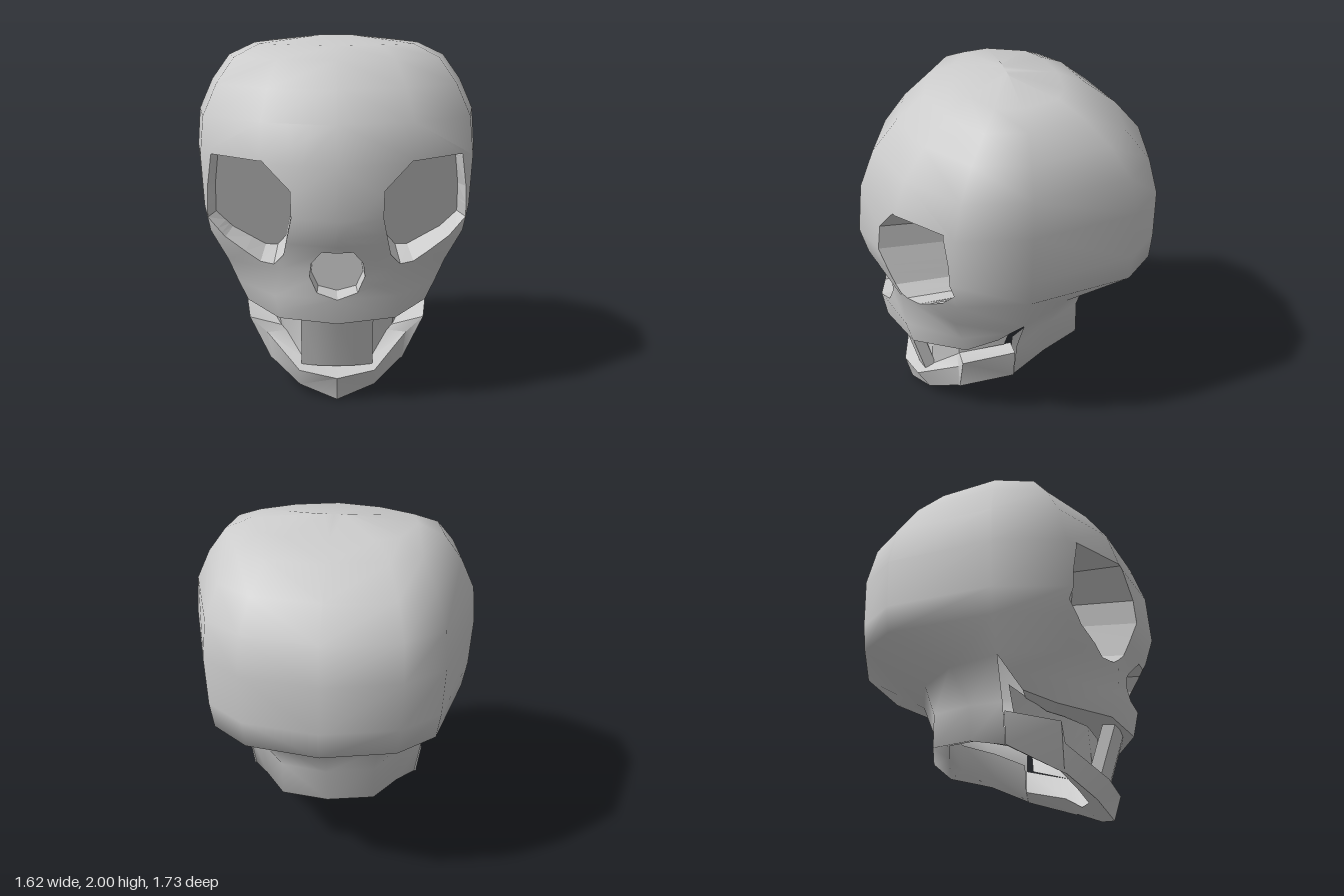
import * as THREE from 'three';
import { mergeVertices, toCreasedNormals } from 'three/addons/utils/BufferGeometryUtils.js';

const material = new THREE.MeshStandardMaterial({ color: 0xcccccc, side: THREE.DoubleSide });
const flip = ([x, y, z]) => [-x, y, z];

function geometryOf(points, normals) {
  const g = new THREE.BufferGeometry();
  g.setAttribute('position', new THREE.Float32BufferAttribute(points.flat(), 3));
  if (normals) g.setAttribute('normal', new THREE.Float32BufferAttribute(normals.flat(), 3));
  return g;
}

function mesh(geometry, name) {
  if (!geometry.attributes.normal) geometry.computeVertexNormals();
  const m = new THREE.Mesh(geometry, material);
  m.name = name;
  return m;
}

// Triangles between successive rows of points, mirrored across x = 0
function mirroredStrip(rows) {
  const out = [];
  const tri = (a, b, c) => out.push(a, b, c, flip(a), flip(c), flip(b));
  for (let r = 0; r < rows.length - 1; r++) {
    const u = rows[r], l = rows[r + 1];
    for (let k = 0; k < u.length - 1; k++) {
      tri(u[k], l[k], l[k + 1]);
      tri(u[k], l[k + 1], u[k + 1]);
    }
  }
  return out;
}

// Cuts a convex polygon p (vertices are [x,y,z,nx,ny,nz]) by the line a-b seen from the front
const side = (v, a, b) => (b[0] - a[0]) * (v[1] - a[1]) - (b[1] - a[1]) * (v[0] - a[0]);
function split(p, a, b) {
  const inside = [], outside = [];
  p.forEach((v, i) => {
    const w = p[(i + 1) % p.length], d = side(v, a, b), e = side(w, a, b);
    (d >= 0 ? inside : outside).push(v);
    if ((d >= 0) !== (e >= 0)) {
      const m = v.map((c, j) => c + (w[j] - c) * d / (d - e));
      inside.push(m);
      outside.push(m);
    }
  });
  return [inside, outside];
}

// Cuts a convex opening into the polygons and returns the recess behind it
function carve(polys, outline, deep) {
  const kept = [], recess = [];
  const edges = outline.map((a, i) => [a, outline[(i + 1) % outline.length]]);
  for (const poly of polys) {
    let rest = poly;
    const pieces = [];
    if (poly.reduce((s, v) => s + v[2], 0) / poly.length > 0.1) {
      for (const [a, b] of edges) {
        const [inside, outside] = split(rest, a, b);
        if (outside.length > 2) pieces.push(outside);
        rest = inside;
        if (rest.length < 3) break;
      }
    } else rest = [];
    if (rest.length < 3) { kept.push(poly); continue; }
    kept.push(...pieces);
    const front = rest.map(v => v.slice(0, 3)), back = front.map(deep);
    for (let i = 1; i < back.length - 1; i++) recess.push(back[0], back[i], back[i + 1]);
    front.forEach((v, i) => {
      const j = (i + 1) % front.length, w = front[j];
      if (edges.some(([a, b]) => Math.abs(side(v, a, b)) < 1e-6 && Math.abs(side(w, a, b)) < 1e-6))
        recess.push(v, w, back[j], v, back[j], back[i]);
    });
  }
  return [kept, geometryOf(recess)];
}

export function createModel() {
  const group = new THREE.Group();

  // Cranium rings: height, half width, front reach, back reach
  const plan = [[0, 1], [0.52, 0.84], [0.93, 0.515], [1, 0.03], [0.81, -0.68], [0.54, -0.9], [0, -1]];
  const rings = [
    [2, 0.1, 0, 0], [1.96, 0.47, 0.3, 0.3], [1.89, 0.62, 0.46, 0.46], [1.75, 0.72, 0.62, 0.65],
    [1.58, 0.795, 0.76, 0.8], [1.37, 0.81, 0.84, 0.86], [1.09, 0.79, 0.865, 0.86], [0.94, 0.76, 0.82, 0.85],
  ].map(([y, w, f, b]) => plan.map(([x, z]) => [x * w, y, z * (z > 0 ? f : b)]));

  // Cheek and skull base ring, then the upper jaw in front and the neck behind
  const base = [[0, 0.8, 0.74], [0.3, 0.79, 0.67], [0.61, 0.77, 0.42], [0.675, 0.74, 0.04],
    [0.5, 0.76, -0.25], [0.3, 0.745, -0.43], [0, 0.74, -0.5]];
  const jawRim = [[0, 0.49, 0.73], [0.32, 0.49, 0.62], [0.51, 0.51, 0.34], [0.55, 0.58, 0.16]];
  const upperJaw = [base.slice(0, 4),
    [[0, 0.64, 0.76], [0.34, 0.63, 0.66], [0.56, 0.63, 0.37], [0.61, 0.66, 0.1]], jawRim];
  // The neck turns inward around the opening at its foot
  const neck = [base.slice(3),
    [[0.54, 0.52, 0.05], [0.42, 0.56, -0.15], [0.27, 0.58, -0.38], [0, 0.58, -0.44]],
    [[0.5, 0.29, 0.06], [0.4, 0.36, -0.15], [0.27, 0.38, -0.38], [0, 0.38, -0.43]],
    [[0.4, 0.32, 0.06], [0.32, 0.39, -0.12], [0.21, 0.41, -0.3], [0, 0.41, -0.34]],
    [[0.42, 0.5, 0.05], [0.33, 0.55, -0.12], [0.21, 0.57, -0.3], [0, 0.57, -0.35]]];

  let skin = mergeVertices(geometryOf([
    ...mirroredStrip([...rings, base]), ...mirroredStrip(upperJaw), ...mirroredStrip(neck)]));
  skin.computeVertexNormals();
  skin = skin.toNonIndexed();
  const P = skin.attributes.position, N = skin.attributes.normal;
  let polys = [];
  for (let i = 0; i < P.count; i += 3) {
    polys.push([i, i + 1, i + 2].map(j =>
      [P.getX(j), P.getY(j), P.getZ(j), N.getX(j), N.getY(j), N.getZ(j)]));
  }

  // Eye sockets, with backs that lean forward at the top, and nose cavity
  const eye = [[0.42, 0.805], [0.62, 0.92], [0.72, 1.02], [0.715, 1.2], [0.69, 1.385], [0.4, 1.385],
    [0.25, 1.235], [0.245, 1.09], [0.29, 0.87], [0.345, 0.805]];
  const nose = [[0, 0.635], [0.11, 0.665], [0.15, 0.75], [0.14, 0.83], [0.085, 0.905],
    [-0.085, 0.905], [-0.14, 0.83], [-0.15, 0.75], [-0.11, 0.665]];
  const eyeBack = ([x, y]) => {
    const d = Math.abs(x) - 0.245;
    return [Math.sign(x) * (0.245 + d * 0.93), 1.12 + (y - 1.12) * 0.95, 0.28 + 0.3 * (y - 0.8) - 0.1 * d];
  };
  const openings = [
    ['leftEyeSocket', eye, eyeBack],
    ['rightEyeSocket', eye.map(([x, y]) => [-x, y]).reverse(), eyeBack],
    ['noseCavity', nose, ([x, y]) => [x * 0.95, 0.77 + (y - 0.77) * 0.95, 0.6]],
  ];
  for (const [name, outline, deep] of openings) {
    const [kept, recess] = carve(polys, outline, deep);
    polys = kept;
    group.add(mesh(recess, name));
  }
  const points = [], normals = [];
  for (const p of polys) {
    for (let i = 1; i < p.length - 1; i++) {
      for (const v of [p[0], p[i], p[i + 1]]) {
        points.push(v.slice(0, 3));
        normals.push(new THREE.Vector3(...v.slice(3)).normalize().toArray());
      }
    }
  }
  group.add(mesh(geometryOf(points, normals), 'skull'));

  // Lower jaw: sections from chin to hinge (outer bottom, outer top, inner top, inner bottom)
  const sections = [
    [[0, 0, 0.6], [0, 0.14, 0.64], [0, 0.2, 0.52], [0, 0.11, 0.46]],
    [[0.21, 0.06, 0.52], [0.21, 0.17, 0.59], [0.19, 0.21, 0.5], [0.17, 0.14, 0.41]],
    [[0.37, 0.16, 0.37], [0.4, 0.32, 0.37], [0.29, 0.33, 0.36], [0.27, 0.22, 0.32]],
    [[0.38, 0.16, 0.36], [0.5, 0.41, 0.36], [0.32, 0.36, 0.35], [0.28, 0.23, 0.31]],
    [[0.51, 0.29, 0.06], [0.54, 0.47, 0.06], [0.42, 0.46, 0.06], [0.4, 0.32, 0.06]],
  ];
  const jaw = mirroredStrip(sections.map(s => [...s, s[0]].reverse()));
  const end = sections[4];
  jaw.push(...mirroredStrip([[end[0], end[1]], [end[3], end[2]]]));
  group.add(mesh(toCreasedNormals(geometryOf(jaw), 0.7), 'lowerJaw'));

  // Mouth lining between the lower jaw and the palate
  const roof = [[0, 0.49, 0.52], [0.2, 0.49, 0.48], [0.34, 0.5, 0.36], [0.38, 0.52, 0.27], [0.52, 0.63, 0.08]];
  const floor = [...sections.slice(0, 4).map(s => s[2]), [0.43, 0.46, 0.1]];
  group.add(mesh(toCreasedNormals(geometryOf(mirroredStrip([roof, floor])), 0.7), 'mouthLining'));

  // Palate closing the upper jaw
  const middle = [0, 0.53, 0.2];
  const palate = mirroredStrip([jawRim, jawRim.map(() => middle)]);
  palate.push(middle, jawRim[3], flip(jawRim[3]));
  group.add(mesh(geometryOf(palate), 'palate'));

  // Front teeth: one curved block leaning forward at the top
  const block = new THREE.Shape([[-0.2, 0.07], [-0.2, 0], [-0.11, -0.025], [0, -0.035], [0.11, -0.025],
    [0.2, 0], [0.2, 0.07]].map(p => new THREE.Vector2(...p)));
  const teeth = new THREE.ExtrudeGeometry(block, { depth: 0.33, bevelEnabled: false });
  teeth.rotateX(-Math.PI / 2).translate(0, 0.19, 0.54);
  const t = teeth.attributes.position;
  for (let i = 0; i < t.count; i++) t.setZ(i, t.getZ(i) + 0.3 * (t.getY(i) - 0.19));
  group.add(mesh(toCreasedNormals(teeth, 0.6), 'frontTeeth'));

  return group;
}
